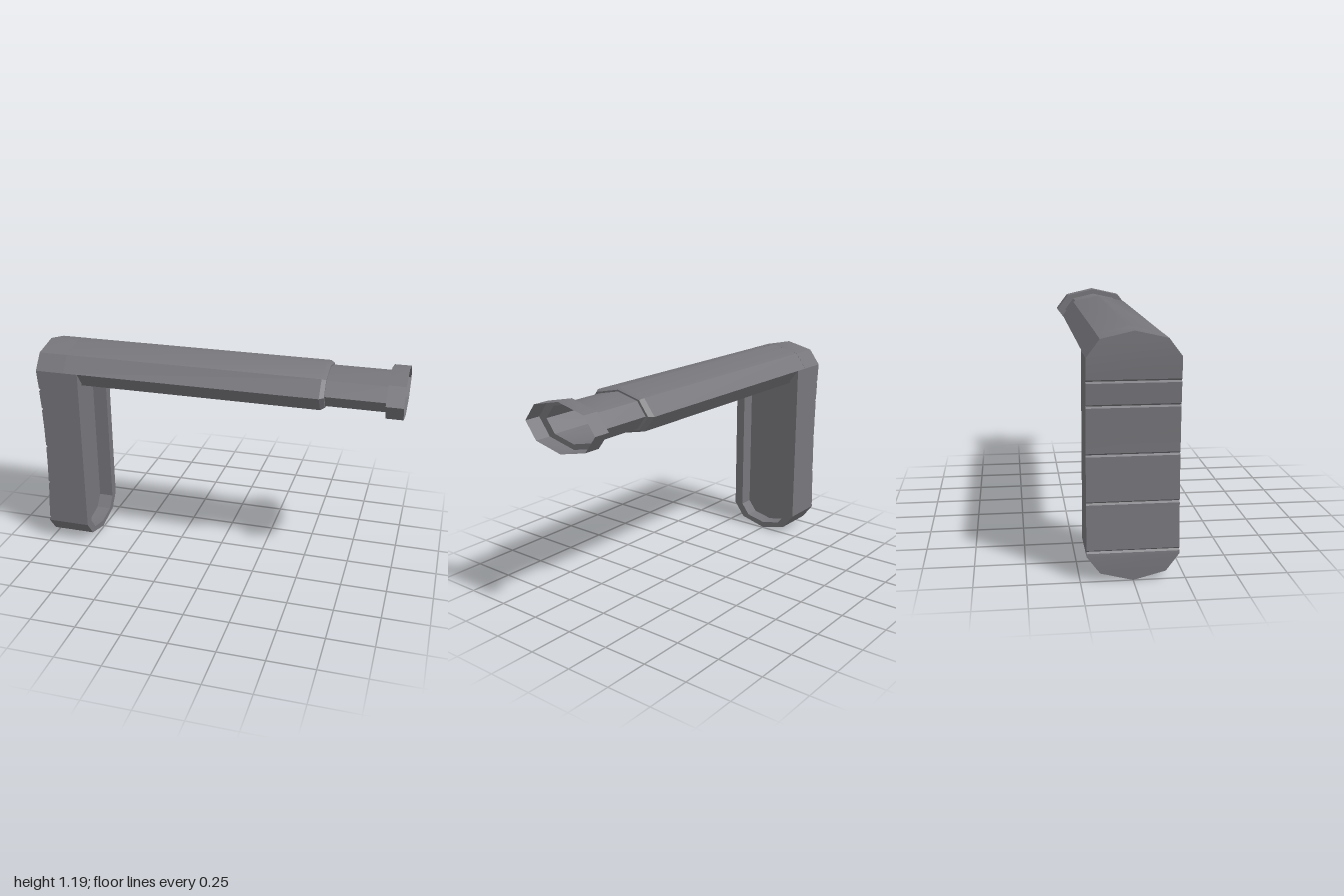
import * as THREE from 'three';
import { toCreasedNormals } from 'three/addons/utils/BufferGeometryUtils.js';

const CREASE = 0.52;
const AXIS_Y = 1.065;   // height of the tube axis
const FLOOR_X = -0.84;  // floor of the recess in the butt
const RIM_X = -0.757;   // front of the butt rim

export function createModel() {
  const group = new THREE.Group();
  const grey = new THREE.MeshStandardMaterial({ color: 0x77767b, side: THREE.DoubleSide });
  grey.name = 'dark grey';

  const add = (name, geometry) => {
    const mesh = new THREE.Mesh(toCreasedNormals(geometry, CREASE), grey);
    mesh.name = name;
    group.add(mesh);
    return mesh;
  };

  // Flattened eight-sided shell of revolution along x, from [x, radius] pairs
  const octagonShell = (name, profile) => {
    const g = new THREE.LatheGeometry(profile.map(([x, r]) => new THREE.Vector2(r, x)), 8);
    g.rotateZ(-Math.PI / 2).scale(1, 1, 1.825).translate(0, AXIS_Y, 0);
    return add(name, g);
  };
  octagonShell('tube', [[FLOOR_X, 0.12], [0.572, 0.12], [0.594, 0.108], [0.594, 0.099]]);
  octagonShell('neck', [[0.594, 0.099], [0.91, 0.099]]);
  octagonShell('endCollar', [[0.91, 0.099], [0.91, 0.127], [1, 0.127]]);

  // Butt plate: stacked rectangles with a hollowed, grooved back
  const width = (y) => {
    const outline = [[0, 0], [0.04, 0.156], [0.125, 0.22], [1.065, 0.22], [1.15, 0.156], [1.185, 0]];
    for (let i = 1; i < outline.length; i++) {
      const [y0, w0] = outline[i - 1], [y1, w1] = outline[i];
      if (y <= y1) return w0 + (w1 - w0) * (y - y0) / (y1 - y0);
    }
    return 0;
  };
  const backX = (y) => {
    const t = (y - 0.595) / 0.47;
    return -1 + 0.02 * Math.max(0, 1 - t * t);
  };
  const levels = [0, 0.04, 0.125, 0.26, 0.5, 0.72, 1.065, 1.15, 1.185].map((y) => [y, backX(y)]);
  for (const y of [0.147, 0.38, 0.61, 0.84, 0.955]) {
    levels.push([y - 0.008, backX(y)], [y, backX(y) + 0.01], [y + 0.008, backX(y)]);
  }
  levels.sort((a, b) => a[0] - b[0]);

  const pos = [];
  const corners = ([y, x]) => {
    const w = width(y);
    return [[x, y, -w], [x, y, w], [FLOOR_X, y, w], [FLOOR_X, y, -w]];
  };
  for (let i = 1; i < levels.length; i++) {
    const a = corners(levels[i - 1]), b = corners(levels[i]);
    for (let k = 0; k < 4; k++) {
      const n = (k + 1) % 4;
      // the pointed ends collapse to a line, so one triangle is dropped there
      if (!(i === 1 && k % 2 === 0)) pos.push(...a[k], ...a[n], ...b[n]);
      if (!(i === levels.length - 1 && k % 2 === 0)) pos.push(...a[k], ...b[n], ...b[k]);
    }
  }
  const plate = new THREE.BufferGeometry();
  plate.setAttribute('position', new THREE.Float32BufferAttribute(pos, 3));
  add('buttPlate', plate);

  // U-shaped rim round the recess, running up into the tube
  const outer = [[-0.22, AXIS_Y], [-0.22, 0.125], [-0.156, 0.04], [0, 0], [0.156, 0.04], [0.22, 0.125], [0.22, AXIS_Y]];
  const inner = [[0.165, AXIS_Y], [0.165, 0.125], [0.115, 0.06], [0, 0.035], [-0.115, 0.06], [-0.165, 0.125], [-0.165, AXIS_Y]];
  const rimShape = new THREE.Shape([...outer, ...inner].map(([z, y]) => new THREE.Vector2(z, y)));
  const rim = new THREE.ExtrudeGeometry(rimShape, { depth: RIM_X - FLOOR_X, bevelEnabled: false });
  rim.rotateY(Math.PI / 2).translate(FLOOR_X, 0, 0);
  add('buttRim', rim);

  return group;
}
